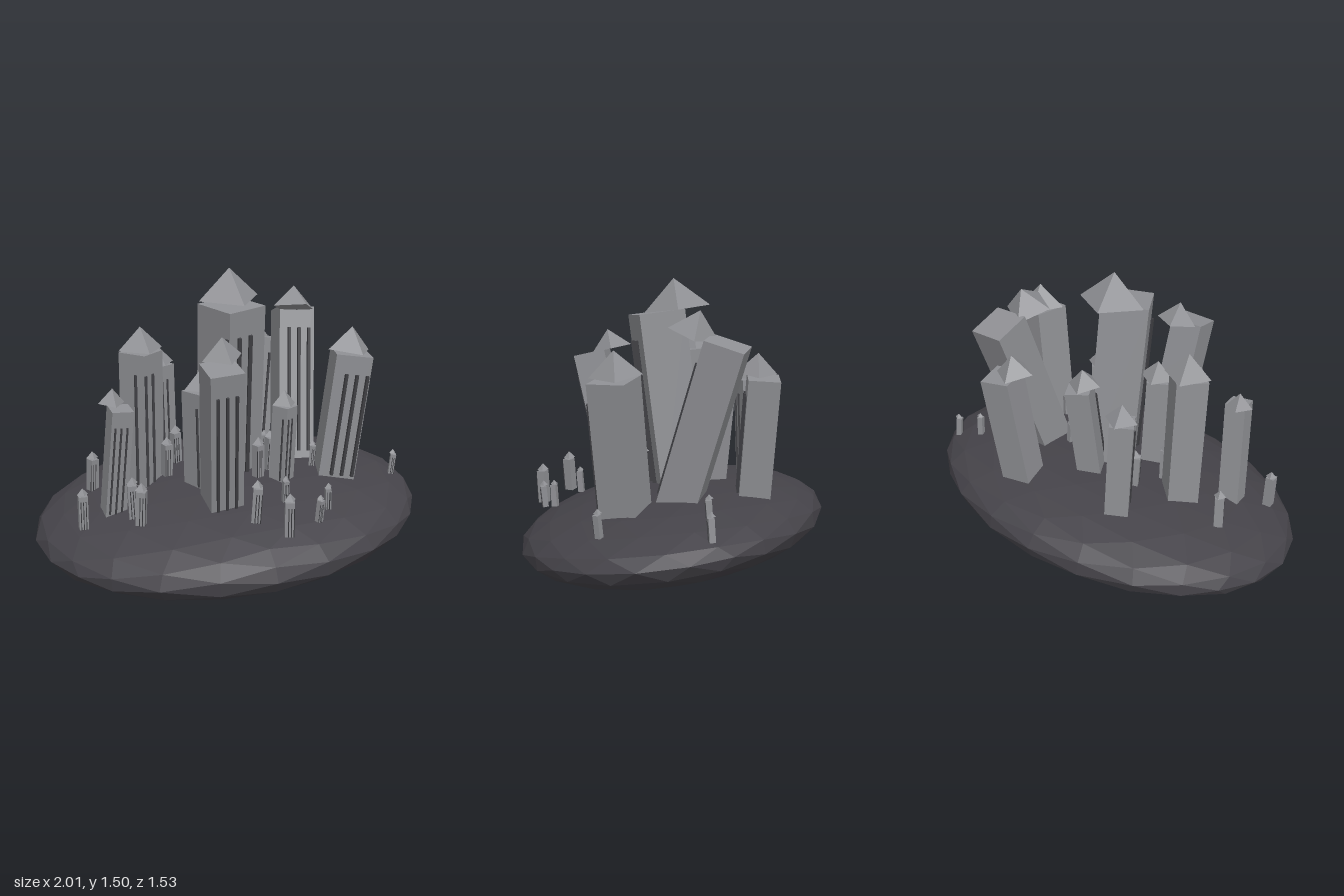
import * as THREE from 'three';

const make = (name, color) => {
  const m = new THREE.MeshStandardMaterial({ color });
  m.name = name;
  return m;
};

// Height of the tipped island's upper surface
const ground = (x, z) =>
  0.25 + 0.07 * x - 0.13 * z + 0.22 * Math.sqrt(Math.max(0, 1 - x * x - (z / 0.77) ** 2));

export function createModel() {
  const model = new THREE.Group();
  model.name = 'floatingCity';
  const rock = make('dark rock', 0x454349);
  const stone = make('grey stone', 0x8f9094);
  const slit = make('dark window', 0x3f3f43);
  rock.flatShading = stone.flatShading = slit.flatShading = true;
  const UP = new THREE.Vector3(0, 1, 0);

  const add = (parent, name, geometry, material, x, y, z) => {
    const mesh = new THREE.Mesh(geometry, material);
    mesh.name = name;
    mesh.position.set(x, y, z);
    parent.add(mesh);
    return mesh;
  };

  // Group that stands at a point with its y axis along the given direction
  const leaning = (name, point, axis) => {
    const g = new THREE.Group();
    g.name = name;
    g.position.copy(point);
    g.quaternion.setFromUnitVectors(UP, axis);
    model.add(g);
    return g;
  };

  // Island: a squashed, slightly tipped faceted ball
  const island = add(model, 'island', new THREE.IcosahedronGeometry(1, 3), rock, 0, 0.25, 0);
  island.scale.set(1.005, 0.222, 0.77);
  island.rotation.set(0.13, 0, 0.07);

  // Leaning square tower with window slits on the front and a loose pyramid roof;
  // slide is how far the roof follows the lean of the shaft
  const tower = (name, foot, top, w, yaw, slide, sunk) => {
    const run = top.clone().sub(foot);
    const h = run.length();
    const axis = run.clone().normalize();
    const s = Math.sin(yaw), c = Math.cos(yaw);

    const shaft = leaning(name, foot, axis);
    const box = new THREE.BoxGeometry(w, h + sunk, w);
    add(shaft, 'body', box, stone, 0, (h - sunk) / 2, 0).rotation.y = yaw;

    // Slits lie on whichever sides of the turned body face the front
    for (const k of [-1, 0, 1]) {
      const x = k * w * 0.28;
      let z = (w / 2 - x * s) / c;
      if (s !== 0) z = Math.min(z, (w / 2 + Math.sign(s) * x * c) / Math.abs(s));
      const bar = new THREE.BoxGeometry(w * 0.08, h * 0.85, w * 0.08);
      add(shaft, 'windowSlit', bar, slit, x, h * 0.425, z + w * 0.03);
    }

    const r = w * (0.62 + 0.2 * Math.abs(s));
    const rh = Math.min(0.02 + 0.8 * r, 1.1 * r);
    const seat = foot.clone().addScaledVector(run, slide);
    seat.y = top.y + 0.005 + 0.12 * Math.hypot(run.x, run.z);
    const cone = new THREE.ConeGeometry(r, rh, 4);
    add(leaning(name + 'Roof', seat, axis), 'roof', cone, stone, 0, rh / 2, 0).rotation.y = 0.18;
  };

  // Large towers: foot x z, top x y z, width, turn, roof slide
  const large = {
    centralTower: [0.01, -0.02, -0.01, 1.33, 0.09, 0.235, 0.44, 0],
    leftTower: [-0.435, -0.07, -0.44, 1.1, -0.04, 0.155, 0.74, 0.6],
    backLeftTower: [-0.26, -0.38, -0.275, 0.96, -0.36, 0.115, 0.5, 0.8],
    outerLeftTower: [-0.63, 0.13, -0.595, 0.88, 0.2, 0.105, 0.08, 0.1],
    innerBackTower: [0.02, -0.2, 0.05, 0.97, -0.245, 0.12, 0.4, 0.5],
    backRightTower: [0.28, -0.435, 0.335, 1.06, -0.475, 0.15, 0.13, 0.1],
    leaningTower: [0.395, -0.1, 0.47, 1.23, -0.32, 0.19, -0.1, 0.25],
    rightTower: [0.535, 0.145, 0.6, 1.075, 0.18, 0.185, -0.24, 0.8],
    innerLeftTower: [-0.17, 0.1, -0.185, 0.92, 0.12, 0.125, 0.5, 0.5],
    frontTower: [-0.125, 0.3, -0.175, 1.1, 0.465, 0.165, 0.04, 0.3],
    midRightTower: [0.225, 0.19, 0.235, 0.83, 0.205, 0.09, 0.6, 0.5],
  };
  for (const [name, [x, z, tx, ty, tz, w, yaw, slide]] of Object.entries(large)) {
    tower(name, new THREE.Vector3(x, ground(x, z), z), new THREE.Vector3(tx, ty, tz), w, yaw, slide, 0.08);
  }

  // Small towers dotted around, placed by x z
  const scatter = (name, w, spots) => spots.forEach(([x, z], i) => {
    const foot = new THREE.Vector3(x, ground(x, z) + 0.01 + 0.08 * z, z);
    const top = foot.clone().add(new THREE.Vector3(0.008 * Math.sin(i * 2.3), w * 3.8, 0.008));
    tower(name, foot, top, w, 0.5 * Math.sin(i * 1.7), 0.5, 0);
  });
  scatter('smallTower', 0.044, [
    [-0.795, 0.225], [-0.69, -0.13], [-0.565, 0.3], [-0.545, 0.37], [-0.32, -0.03],
    [-0.23, -0.18], [-0.04, 0.56], [0.085, 0.67], [0.1, 0.19], [0.18, 0.12],
  ]);
  scatter('tinyTower', 0.028, [
    [0.145, 0.455], [0.255, 0.615], [0.335, 0.54], [0.415, 0.13],
    [0.7, -0.27], [0.84, -0.295], [0.84, 0.2], [0.23, -0.09],
  ]);

  return model;
}
